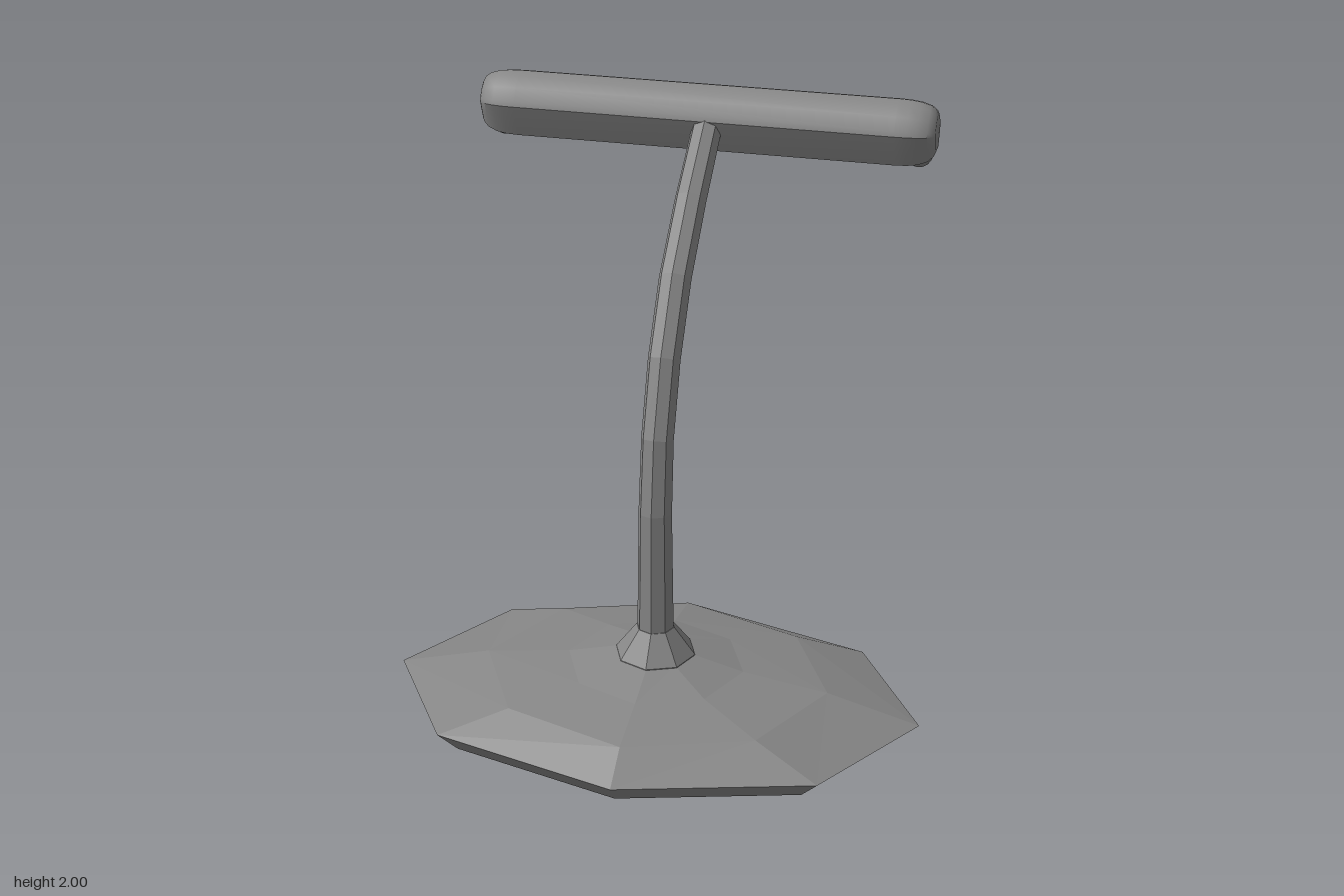
import * as THREE from 'three';
import { toCreasedNormals } from 'three/addons/utils/BufferGeometryUtils.js';

// Skin a list of equal-length rings of [x, y, z] points and cap both ends.
function loft(rings) {
  const n = rings[0].length, pos = [];
  const tri = (...pts) => pts.forEach((p) => pos.push(...p));
  for (let i = 0; i < rings.length - 1; i++) {
    for (let j = 0; j < n; j++) {
      const k = (j + 1) % n, a = rings[i], b = rings[i + 1];
      tri(a[j], b[j], a[k]);
      tri(a[k], b[j], b[k]);
    }
  }
  const cap = (ring, flip) => {
    const c = [0, 1, 2].map((d) => ring.reduce((s, p) => s + p[d], 0) / n);
    ring.forEach((p, j) => {
      const q = ring[(j + 1) % n];
      if (flip) tri(c, p, q); else tri(c, q, p);
    });
  };
  cap(rings[0], true);
  cap(rings[rings.length - 1], false);
  const geo = new THREE.BufferGeometry();
  geo.setAttribute('position', new THREE.Float32BufferAttribute(pos, 3));
  geo.computeVertexNormals();
  return geo;
}

// Octagonal ring with separate radii along x and z.
const SIDES = 8;
const octagon = (y, rx, rz) => Array.from({ length: SIDES }, (_, i) => {
  const a = (i / SIDES) * Math.PI * 2;
  return [Math.cos(a) * rx, y, Math.sin(a) * rz];
});

export function createModel() {
  const group = new THREE.Group();
  group.name = 'deskLamp';
  const flat = new THREE.MeshStandardMaterial({ color: 0x868686, flatShading: true });
  const smooth = new THREE.MeshStandardMaterial({ color: 0x868686 });
  const pale = new THREE.MeshStandardMaterial({ color: 0xcccccc });

  // The lamp is built with the arm leaning to +x, then turned about its stem.
  const lamp = new THREE.Group();
  lamp.name = 'lamp';
  lamp.position.set(-0.22, 0, 0.19);
  lamp.rotation.y = 0.645;
  group.add(lamp);
  const add = (name, geo, mat, parent = lamp) => {
    const mesh = new THREE.Mesh(geo, mat);
    mesh.name = name;
    parent.add(mesh);
    return mesh;
  };

  // Faceted elongated base: shallow underside, rim, stepped top
  add('base', loft([
    [0.002, 0.01, 0.01], [0.045, 0.55, 0.815], [0.113, 0.604, 0.895],
    [0.195, 0.48, 0.585], [0.236, 0.28, 0.3], [0.28, 0.125, 0.125],
  ].map((r) => octagon(...r))), flat);

  // Flared collar where the stem meets the base
  add('collar', loft([octagon(0.26, 0.135, 0.135), octagon(0.28, 0.135, 0.135),
    octagon(0.375, 0.064, 0.064)]), flat);

  // Curved stem: x, y, radius along its path
  const path = [[0, 0.36, 0.062], [0, 0.8, 0.056], [0.032, 1.05, 0.054],
    [0.125, 1.29, 0.054], [0.275, 1.51, 0.054], [0.49, 1.7, 0.053], [0.73, 1.872, 0.051]];
  add('stem', loft(path.map(([x, y, r], i) => {
    const p = path[Math.max(i - 1, 0)], q = path[Math.min(i + 1, path.length - 1)];
    const t = new THREE.Vector2(q[0] - p[0], q[1] - p[1]).normalize();
    return octagon(0, r, r).map(([u, , w]) => [x + t.y * u, y - t.x * u, w]);
  })), flat);

  // Head housing: domed top with a ridge, creased waist, tapered underside
  const head = new THREE.Group();
  head.name = 'head';
  lamp.add(head);
  const half = [[0.035, 0.09], [0.07, 0.06], [0.097, 0.018], [0.102, 0.002],
    [0.082, -0.05], [0.055, -0.112]];
  const section = [[0, 0.1], ...half, ...half.map(([x, y]) => [-x, y]).reverse()];
  const ends = [[0, 0.58], [0.006, 0.7], [0.024, 0.84], [0.055, 0.94], [0.09, 0.985], [0.13, 1]];
  const z0 = -0.79, z1 = 0.762;
  const stations = [...ends.map(([d, s]) => [z0 + d, s]),
    ...ends.map(([d, s]) => [z1 - d, s]).reverse()];
  add('housing', toCreasedNormals(loft(stations.map(([z, s]) =>
    section.map(([x, y]) => [0.792 + x * s, 1.9 + y * s, z]))), 0.55), smooth, head);

  // Light tube along the lower outer edge
  const tubeA = -0.74, tubeB = 0.695;
  const tube = add('lightTube', new THREE.CylinderGeometry(0.032, 0.032, tubeB - tubeA, 20), pale, head);
  tube.rotation.x = Math.PI / 2;
  tube.position.set(0.86, 1.802, (tubeA + tubeB) / 2);

  // Rounded sockets holding the tube ends, leaning in towards the housing
  for (const z of [tubeA, tubeB]) {
    const socket = add('tubeSocket', new THREE.CapsuleGeometry(0.053, 0.06, 6, 16), smooth, head);
    socket.position.set(0.851, 1.822, z);
    socket.rotation.z = 0.6;
    socket.scale.z = 0.9;
  }
  return group;
}
